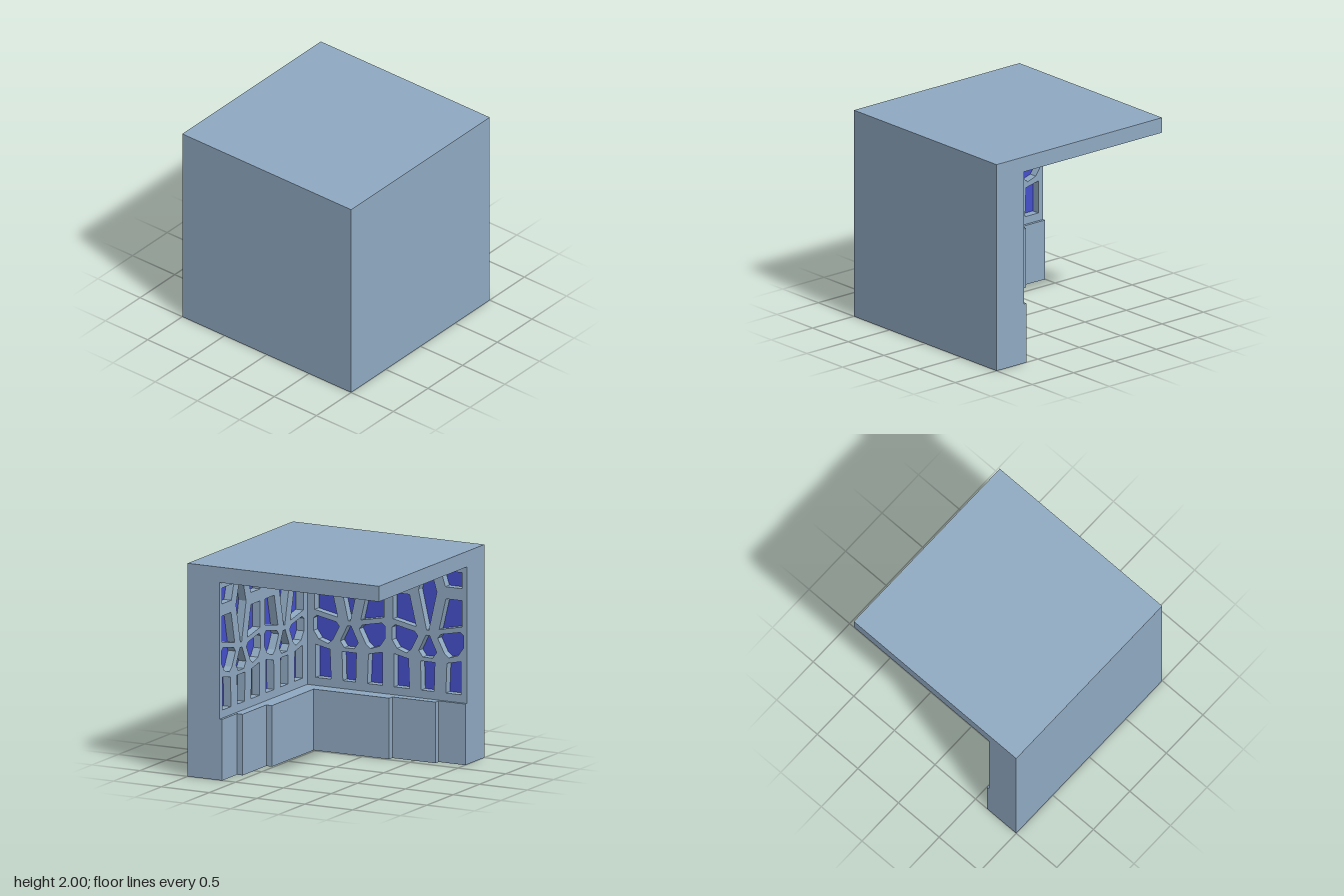
import * as THREE from 'three';

const wallMat = new THREE.MeshStandardMaterial({ color: 0x90aac2 });
wallMat.name = 'blue grey wall';
const glassMat = new THREE.MeshStandardMaterial({ color: 0x4550cc });
glassMat.name = 'blue glass';

const INNER = 0.667;          // inner face of the upper walls, from the centre
const LENGTH = 1 + INNER;     // facade length from the inner corner
const REVEAL = 0.08;          // window depth
const BASE_TOP = 0.573, ROOF_BOTTOM = 1.855;

// Window outlines of one panel: [offset from panel axis, height]
const sidePanes = [
  [[0.137, 1.795], [0.361, 1.795], [0.361, 1.645], [0.185, 1.645]],
  [[0.19, 1.532], [0.361, 1.532], [0.361, 1.285], [0.12, 1.237]],
  [[0.34, 1.232], [0.372, 1.205], [0.372, 1.087], [0.319, 1.012],
    [0.222, 0.98], [0.174, 1.018], [0.104, 1.152], [0.137, 1.192]],
  [[0.201, 0.927], [0.35, 0.959], [0.35, 0.648], [0.19, 0.648]],
];
// Right halves of the symmetric panes on the axis
const centrePanes = [
  [[0.032, 1.795], [0.096, 1.585], [0.011, 1.216]],
  [[0.019, 1.168], [0.094, 1.018], [0.051, 0.959]],
  [[0.075, 0.921], [0.067, 0.648]],
];
const flip = (pts) => pts.map(([u, y]) => [-u, y]).reverse();
const panes = [
  ...sidePanes, ...sidePanes.map(flip),
  ...centrePanes.map((p) => [...p, ...flip(p)]),
];
const panelAxes = [0.438, 1.258];

function box(name, x0, x1, y0, y1, z0, z1) {
  const mesh = new THREE.Mesh(new THREE.BoxGeometry(x1 - x0, y1 - y0, z1 - z0), wallMat);
  mesh.position.set((x0 + x1) / 2, (y0 + y1) / 2, (z0 + z1) / 2);
  mesh.name = name;
  return mesh;
}

// Facade facing local +z; side = +1 or -1 is the direction away from the inner corner
function makeFacade(name, side, startLattice, startBase) {
  const group = new THREE.Group();
  group.name = name;
  const toVec = ([u, y]) => new THREE.Vector2(side * u, y);

  // Pierced lattice
  const shape = new THREE.Shape([
    [startLattice, BASE_TOP], [LENGTH, BASE_TOP], [LENGTH, ROOF_BOTTOM], [startLattice, ROOF_BOTTOM],
  ].map(toVec));
  for (const axis of panelAxes) {
    for (const pane of panes) {
      shape.holes.push(new THREE.Path(pane.map(([u, y]) => toVec([u + axis, y]))));
    }
  }
  const lattice = new THREE.Mesh(
    new THREE.ExtrudeGeometry(shape, { depth: REVEAL, bevelEnabled: false }), wallMat);
  lattice.position.z = -REVEAL;
  lattice.name = 'windowLattice';
  group.add(lattice);

  // Glass sheet behind the lattice
  const glass = new THREE.Mesh(new THREE.PlaneGeometry(LENGTH - 0.06, 1.22), glassMat);
  glass.position.set(side * LENGTH / 2, (BASE_TOP + ROOF_BOTTOM) / 2, -REVEAL + 0.003);
  glass.name = 'windowGlass';
  group.add(glass);

  // Stepped plinth, deepest next to the inner corner
  const steps = [[startBase, 0.937, 0.147], [0.937, 1.387, 0.087], [1.387, LENGTH, 0.027]];
  for (const [a, b, out] of steps) {
    group.add(box('plinthStep', Math.min(side * a, side * b), Math.max(side * a, side * b),
      0, BASE_TOP, -REVEAL, out));
  }
  return group;
}

export function createModel() {
  const model = new THREE.Group();
  model.name = 'cornerBuilding';
  const back = INNER + REVEAL;

  // Roof slab and the two solid outer walls
  model.add(box('roofSlab', -1, 1, ROOF_BOTTOM, 2, -1, 1));
  model.add(box('frontWall', -1, 1, 0, ROOF_BOTTOM, back, 1));
  model.add(box('sideWall', -1, -back, 0, ROOF_BOTTOM, -1, back));

  // Inner facades
  const sideFacade = makeFacade('sideFacade', 1, 0, 0.147);
  sideFacade.rotation.y = Math.PI / 2;
  sideFacade.position.set(-INNER, 0, INNER);
  const frontFacade = makeFacade('frontFacade', -1, -REVEAL, -REVEAL);
  frontFacade.rotation.y = Math.PI;
  frontFacade.position.set(-INNER, 0, INNER);
  model.add(sideFacade, frontFacade);
  return model;
}
